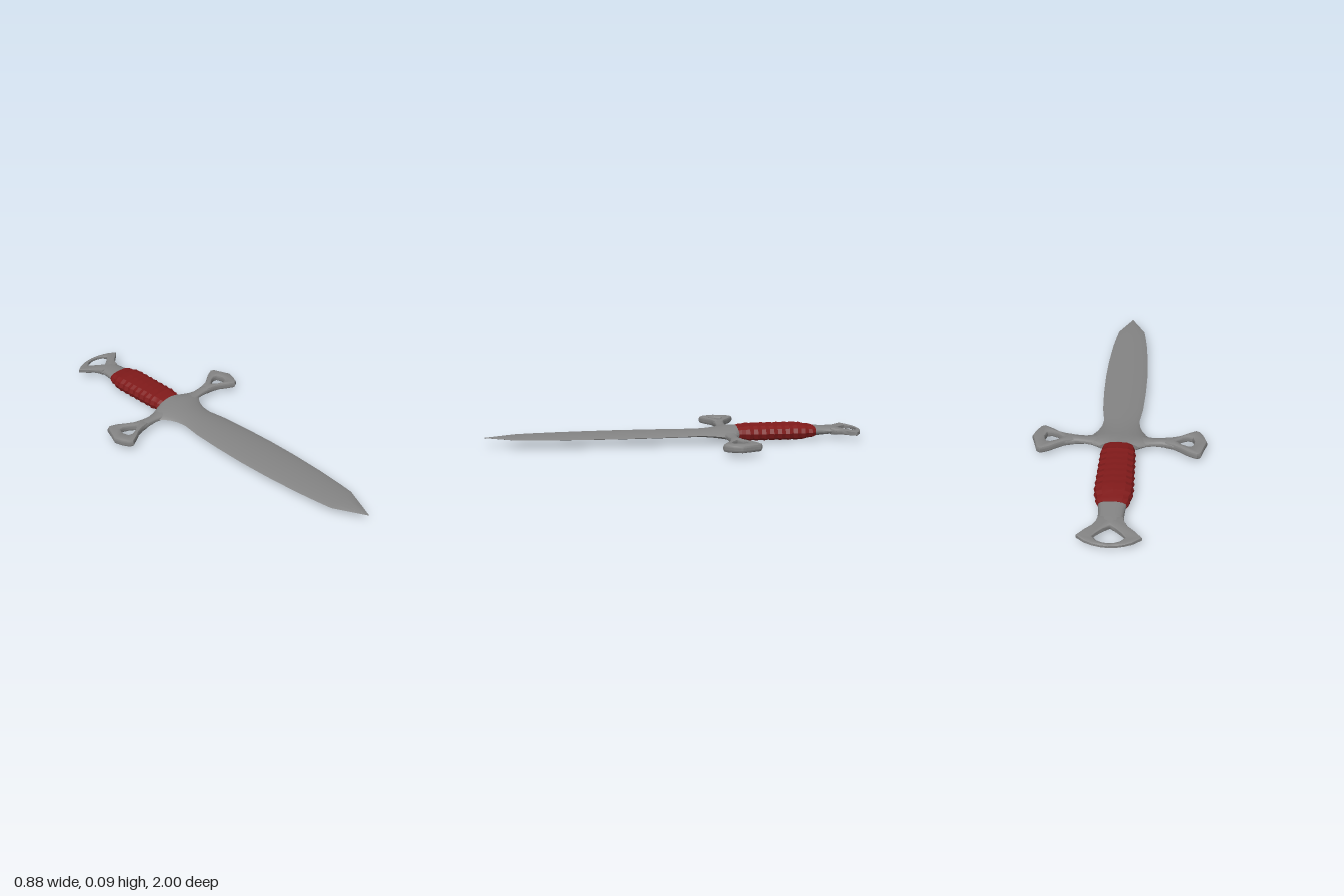
import * as THREE from 'three';
import { toCreasedNormals } from 'three/addons/utils/BufferGeometryUtils.js';

const MID = 0.045; // height of the flat plane of symmetry
const steel = new THREE.MeshStandardMaterial({ color: 0x848484 });
const wrap = new THREE.MeshStandardMaterial({ color: 0x801a1a });

// Cross-section rules: angle -> unit [x, y]
const oval = (power) => (a) => {
  const f = (v) => Math.sign(v) * Math.pow(Math.abs(v), 2 / power);
  return [f(Math.cos(a)), f(Math.sin(a))];
};
const lens = (a) => {
  const u = Math.cos(a);
  return [u, Math.sign(Math.sin(a)) * (1 - u * u) ** 0.8];
};

// Skin sections [z, halfWidth, halfHeight, centreX] into a closed solid
function loft(sections, rule, sides = 16) {
  const pos = [], index = [];
  for (const [z, w, h, c = 0] of sections) {
    for (let j = 0; j < sides; j++) {
      const [x, y] = rule((j / sides) * Math.PI * 2);
      pos.push(c + x * w, y * h, z);
    }
  }
  const n = sections.length;
  for (let i = 0; i < n - 1; i++) {
    for (let j = 0; j < sides; j++) {
      const k = (j + 1) % sides, a = i * sides, b = a + sides;
      index.push(a + j, a + k, b + k, a + j, b + k, b + j);
    }
  }
  const last = (n - 1) * sides;
  for (let j = 1; j < sides - 1; j++) {
    index.push(0, j + 1, j, last, last + j, last + j + 1);
  }
  const geo = new THREE.BufferGeometry();
  geo.setAttribute('position', new THREE.Float32BufferAttribute(pos, 3));
  geo.setIndex(index);
  return geo;
}

// Counter-clockwise 2D loop from [x, z] points
function loop(list) {
  const pts = list.map(([x, z]) => new THREE.Vector2(x, -z));
  return THREE.ShapeUtils.isClockWise(pts) ? pts.reverse() : pts;
}

// Bevelled flat plate with one hole
function plate(outline, hole, half, bevel) {
  const shape = new THREE.Shape(loop(outline));
  shape.holes.push(new THREE.Path(loop(hole)));
  const depth = 2 * (half - bevel);
  const geo = new THREE.ExtrudeGeometry(shape, {
    depth, bevelEnabled: true, bevelThickness: bevel, bevelSize: bevel,
    bevelOffset: -bevel, bevelSegments: 2,
  });
  return geo.translate(0, 0, -depth / 2).rotateX(-Math.PI / 2);
}

const mirrored = (half) => [...half, ...half.filter((p) => p[0] > 0).reverse().map(([x, z]) => [-x, z])];

export function createModel() {
  const model = new THREE.Group();
  const add = (name, geo, material = steel, crease = 0.75) => {
    const mesh = new THREE.Mesh(toCreasedNormals(geo, crease), material);
    mesh.name = name;
    mesh.position.y = MID;
    model.add(mesh);
  };

  // Leaf-shaped blade, swelling into the guard up to the grip
  add('blade', loft([
    [-0.322, 0.1, 0.035], [-0.3, 0.15, 0.034], [-0.27, 0.172, 0.031], [-0.245, 0.155, 0.028],
    [-0.222, 0.134, 0.025], [-0.19, 0.113, 0.022],
    [-0.15, 0.098, 0.019], [-0.1, 0.092, 0.017], [0, 0.106, 0.016], [0.15, 0.114, 0.015],
    [0.32, 0.117, 0.014], [0.48, 0.113, 0.0125], [0.65, 0.102, 0.011], [0.76, 0.09, 0.0095],
    [0.84, 0.079, 0.008], [0.92, 0.039, 0.005], [0.995, 0.001, 0.001],
  ], lens, 20), steel, 0.6);

  // Crossguard bar: sections given as [x, backZ, frontZ, halfHeight]
  const arm = [
    [0, -0.322, -0.23, 0.024], [0.05, -0.322, -0.23, 0.023], [0.09, -0.322, -0.228, 0.021],
    [0.13, -0.307, -0.235, 0.017], [0.17, -0.298, -0.243, 0.015], [0.21, -0.298, -0.244, 0.019],
    [0.25, -0.305, -0.24, 0.0195], [0.275, -0.312, -0.237, 0.018],
  ];
  const bar = [...arm.slice(1).reverse().map(([x, ...r]) => [-x, ...r]), ...arm];
  add('crossguard', loft(
    bar.map(([x, z0, z1, h]) => [x, (z1 - z0) / 2, h, -(z0 + z1) / 2]), oval(2.2),
  ).rotateY(Math.PI / 2));

  // Pierced ends of the crossguard
  for (const [side, name] of [[1, 'leftGuardEnd'], [-1, 'rightGuardEnd']]) {
    const flip = (list) => list.map(([x, z]) => [x * side, z]);
    add(name, plate(
      flip([
        [0.225, -0.296], [0.27, -0.308], [0.305, -0.33], [0.345, -0.358], [0.385, -0.375],
        [0.405, -0.365], [0.422, -0.315], [0.439, -0.27], [0.425, -0.225], [0.405, -0.19],
        [0.385, -0.18], [0.34, -0.204], [0.305, -0.227], [0.27, -0.239], [0.225, -0.246],
      ]),
      flip([
        [0.285, -0.273], [0.315, -0.297], [0.345, -0.31], [0.365, -0.305],
        [0.374, -0.273], [0.365, -0.242], [0.345, -0.236], [0.315, -0.249],
      ]), 0.02, 0.014));
  }

  // Grip with ridged wrapping
  const grip = [];
  const ridges = 10, z0 = -0.318, z1 = -0.745;
  for (let i = 2 * ridges; i >= 0; i--) {
    const t = i / (2 * ridges);
    const taper = Math.min(1, t / 0.12, (1 - t) / 0.2);
    const groove = i % 2 ? 1 : 0.93;
    const endW = t < 0.5 ? 0.077 : 0.074, endH = t < 0.5 ? 0.035 : 0.03;
    const w = THREE.MathUtils.lerp(endW, 0.088 + 0.008 * t, taper);
    const h = THREE.MathUtils.lerp(endH, 0.0445, taper);
    grip.push([z0 + (z1 - z0) * t, w * groove, h * groove]);
  }
  add('grip', loft(grip, oval(2.6), 12), wrap, 0.3);

  // Neck between grip and pommel
  add('pommelNeck', loft([
    [-0.872, 0.07, 0.014], [-0.85, 0.061, 0.0175], [-0.82, 0.058, 0.02],
    [-0.78, 0.06, 0.0235], [-0.735, 0.066, 0.027],
  ], oval(2.4)));

  // Pierced crescent pommel, thinning toward its end
  const pommel = plate(
    mirrored([
      [0, -0.83], [0.056, -0.83], [0.062, -0.855], [0.078, -0.882], [0.108, -0.908], [0.142, -0.945],
      [0.105, -0.973], [0.07, -0.988], [0.035, -0.997], [0, -1],
    ]),
    mirrored([[0, -0.88], [0.03, -0.902], [0.055, -0.926], [0.072, -0.948], [0.05, -0.97], [0.025, -0.98], [0, -0.983]]),
    0.02, 0.006);
  const p = pommel.attributes.position;
  for (let i = 0; i < p.count; i++) {
    const t = (p.getZ(i) + 1) / 0.17;
    p.setY(i, p.getY(i) * (0.38 + 0.5 * t));
  }
  add('pommel', pommel);

  return model;
}
